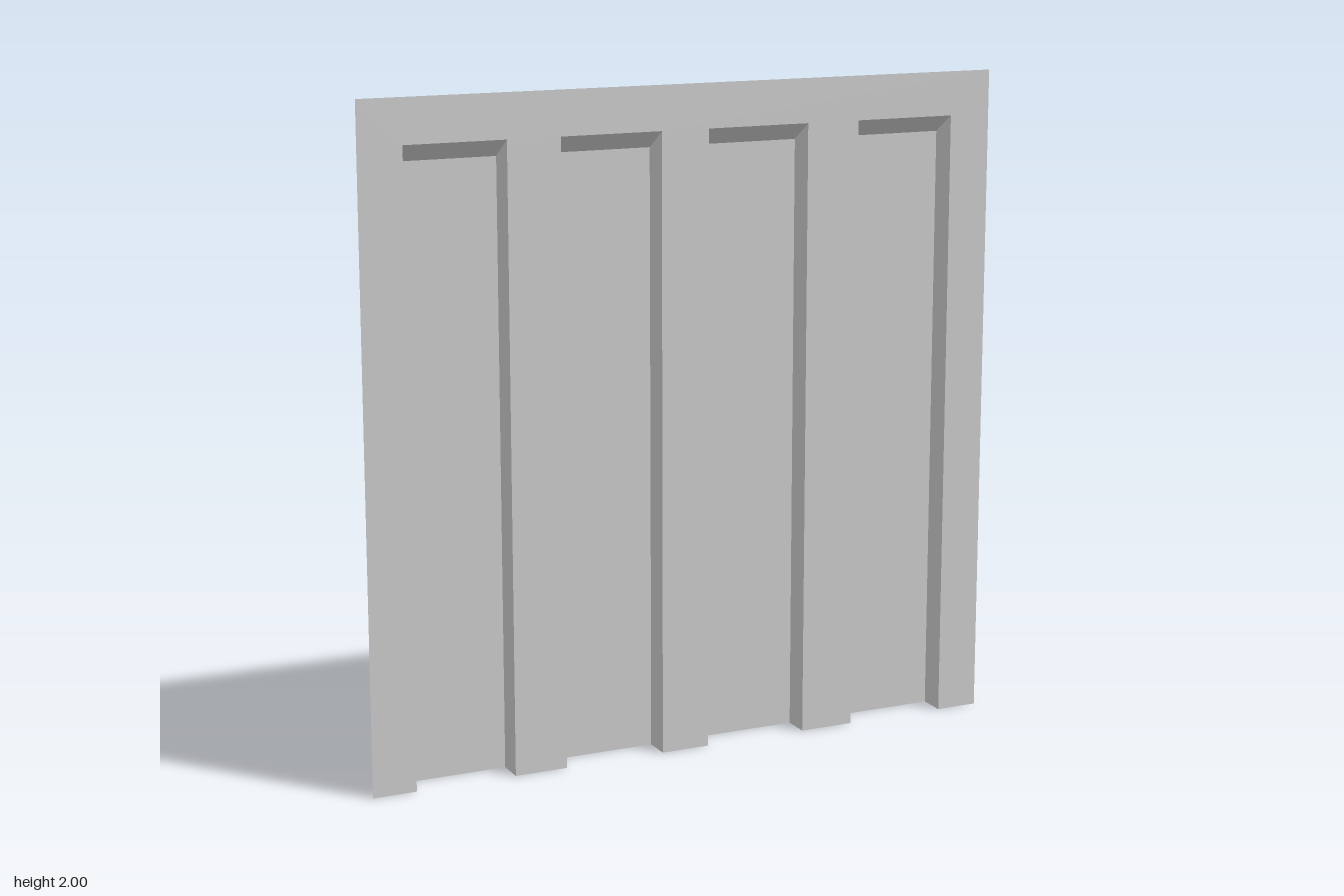
import * as THREE from 'three';

const FRONT = 0.042, BACK = -0.042;      // sheet plane and channel floor
const HEIGHT = 2, TOP_FRONT = 1.868, TOP_BACK = 1.813;
const CHANNELS = [[-0.867, -0.56], [-0.397, -0.085], [0.065, 0.387], [0.555, 0.87]];

const material = new THREE.MeshStandardMaterial({
  color: 0xcccccc, flatShading: true, side: THREE.DoubleSide,
});

// Flat quad from four corners, counter-clockwise seen from its front
function quad(name, a, b, c, d) {
  const geometry = new THREE.BufferGeometry();
  geometry.setAttribute('position', new THREE.Float32BufferAttribute([a, b, c, d].flat(), 3));
  geometry.setIndex([0, 1, 2, 0, 2, 3]);
  geometry.computeVertexNormals();
  const mesh = new THREE.Mesh(geometry, material);
  mesh.name = name;
  return mesh;
}

// Thin front sheet, cut away where the channels open
function createSheet() {
  const outline = new THREE.Shape();
  outline.moveTo(-1, 0);
  for (const [x0, x1] of CHANNELS) {
    outline.lineTo(x0, 0);
    outline.lineTo(x0, TOP_FRONT);
    outline.lineTo(x1, TOP_FRONT);
    outline.lineTo(x1, 0);
  }
  outline.lineTo(1, 0);
  outline.lineTo(1, HEIGHT);
  outline.lineTo(-1, HEIGHT);
  outline.closePath();
  const sheet = new THREE.Mesh(new THREE.ShapeGeometry(outline), material);
  sheet.position.z = FRONT;
  sheet.name = 'frontSheet';
  return sheet;
}

// Recessed channel: floor, two walls and a sloped cap, open at the bottom
function createChannel([x0, x1]) {
  const channel = new THREE.Group();
  channel.name = 'channel';
  const corners = (x) => ({
    fb: [x, 0, FRONT], ft: [x, TOP_FRONT, FRONT],
    bb: [x, 0, BACK], bt: [x, TOP_BACK, BACK],
  });
  const l = corners(x0), r = corners(x1);
  channel.add(
    quad('channelFloor', l.bb, r.bb, r.bt, l.bt),
    quad('rightWall', l.fb, l.bb, l.bt, l.ft),
    quad('leftWall', r.bb, r.fb, r.ft, r.bt),
    quad('slopedCap', l.bt, r.bt, r.ft, l.ft),
  );
  return channel;
}

export function createModel() {
  const model = new THREE.Group();
  model.name = 'ribbedPanel';
  model.add(createSheet(), ...CHANNELS.map(createChannel));
  return model;
}
